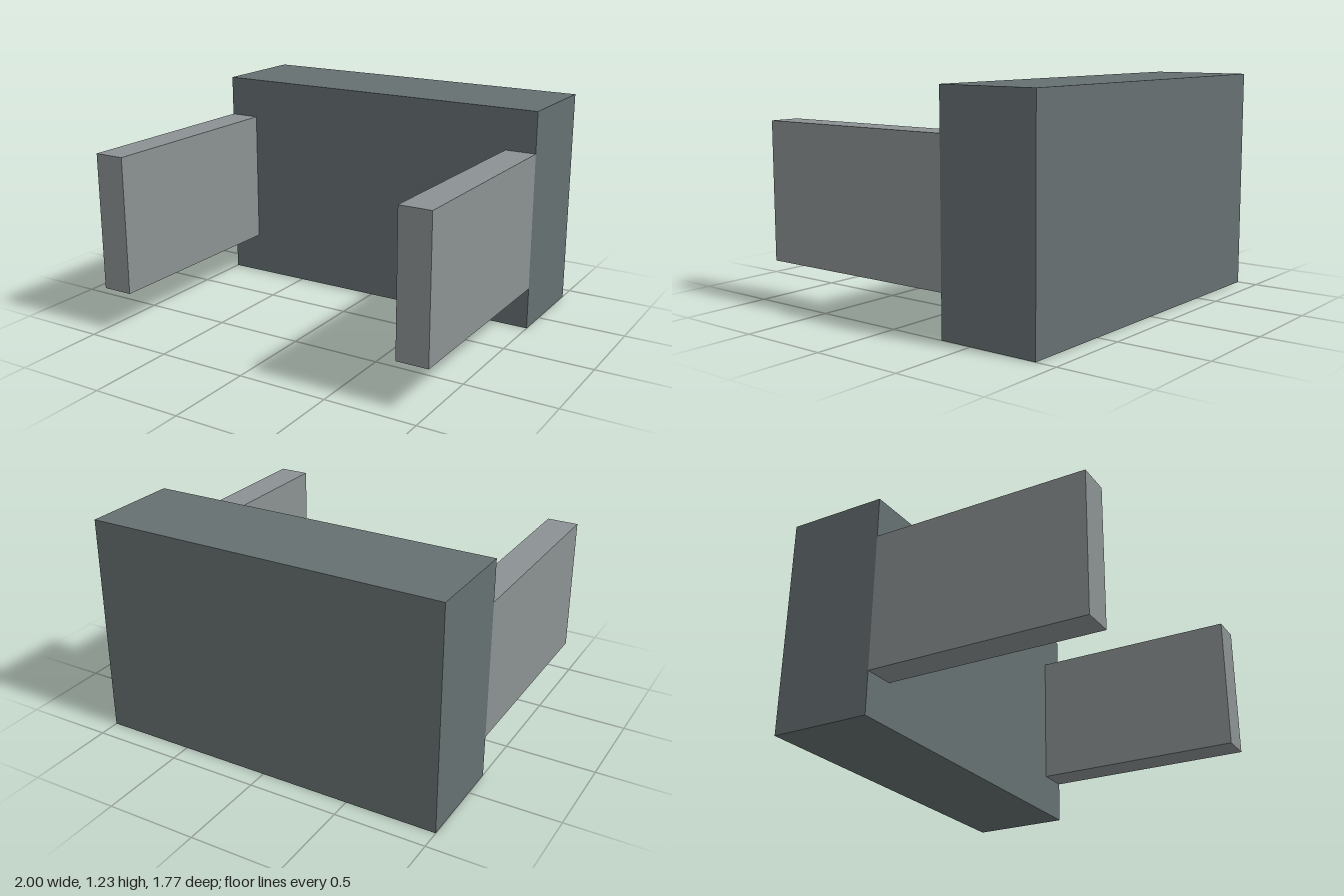
import * as THREE from 'three';

// Box mesh spanning two opposite corners
function boxBetween(name, min, max, material) {
  const size = max.map((v, i) => v - min[i]);
  const mesh = new THREE.Mesh(new THREE.BoxGeometry(...size), material);
  mesh.position.set(...max.map((v, i) => (v + min[i]) / 2));
  mesh.name = name;
  return mesh;
}

export function createModel() {
  const group = new THREE.Group();
  const darkGrey = new THREE.MeshStandardMaterial({ color: 0x667071 });
  const lightGrey = new THREE.MeshStandardMaterial({ color: 0x8c9193 });

  // Thick rear block standing on the ground
  group.add(boxBetween('backBlock', [-1, 0, -0.885], [1, 1.23, -0.32], darkGrey));

  // Side panels reaching forward, flush with the block's ends
  for (const [name, x0, x1] of [['leftArm', 0.825, 1], ['rightArm', -1, -0.825]]) {
    group.add(boxBetween(name, [x0, 0.235, -0.32], [x1, 1, 0.885], lightGrey));
  }
  return group;
}
